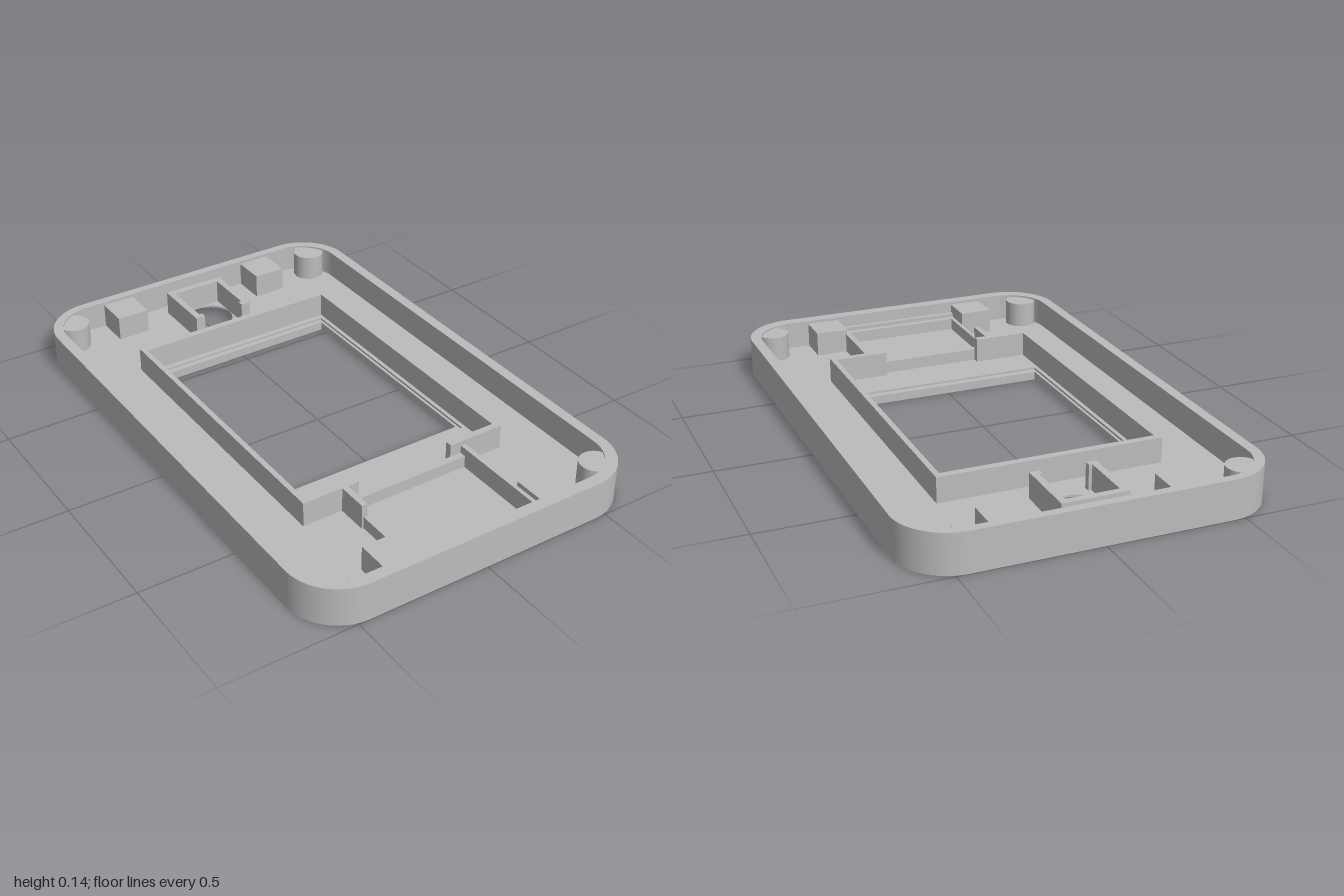
import * as THREE from 'three';
import { toCreasedNormals } from 'three/addons/utils/BufferGeometryUtils.js';

const FLOOR = 0.04, SINK = 0.032, POST = 0.133, RIM = 0.145;

// Outlines are drawn in plan: shape x = model x, shape y = -z
function rounded(Kind, x0, x1, z0, z1, r) {
  const p = new Kind(), b = -z1, t = -z0;
  p.moveTo(x0 + r, b);
  p.lineTo(x1 - r, b);
  p.absarc(x1 - r, b + r, r, -Math.PI / 2, 0, false);
  p.lineTo(x1, t - r);
  p.absarc(x1 - r, t - r, r, 0, Math.PI / 2, false);
  p.lineTo(x0 + r, t);
  p.absarc(x0 + r, t - r, r, Math.PI / 2, Math.PI, false);
  p.lineTo(x0, b + r);
  p.absarc(x0 + r, b + r, r, Math.PI, Math.PI * 1.5, false);
  return p;
}

function polygon(Kind, points) {
  return new Kind(points.map(([x, z]) => new THREE.Vector2(x, -z)));
}

function rect(Kind, x0, x1, z0, z1) {
  return polygon(Kind, [[x0, z1], [x1, z1], [x1, z0], [x0, z0]]);
}

function circle(r, z) {
  return new THREE.Path().absarc(0, -z, r, 0, Math.PI * 2, true);
}

export function createModel() {
  const group = new THREE.Group();
  const grey = new THREE.MeshStandardMaterial({ color: 0xbcbcbc, side: THREE.DoubleSide });
  grey.name = 'light grey';

  function add(name, geometry) {
    const mesh = new THREE.Mesh(geometry, grey);
    mesh.name = name;
    group.add(mesh);
    return mesh;
  }
  // Raise a plan outline from y0 to y1
  function raise(name, shape, y0, y1, holes = []) {
    shape.holes.push(...holes);
    const g = new THREE.ExtrudeGeometry(shape, { depth: y1 - y0, bevelEnabled: false, curveSegments: 20 });
    g.rotateX(-Math.PI / 2);
    g.translate(0, y0, 0);
    return add(name, toCreasedNormals(g, 0.5));
  }
  function block(name, x0, x1, z0, z1, y1) {
    const g = new THREE.BoxGeometry(x1 - x0, y1 - FLOOR, z1 - z0);
    g.translate((x0 + x1) / 2, (FLOOR + y1) / 2, (z0 + z1) / 2);
    return add(name, g);
  }
  const outline = () => rounded(THREE.Shape, -0.645, 0.645, -1, 1, 0.19);

  // Floor in two layers, stepped around the window and the countersunk hole
  raise('lowerFloor', outline(), 0, SINK,
    [rect(THREE.Path, -0.365, 0.365, -0.53, 0.35), circle(0.16, -0.8)]);
  raise('upperFloor', outline(), SINK, FLOOR,
    [rect(THREE.Path, -0.375, 0.375, -0.55, 0.376), circle(0.095, -0.8)]);
  const cone = new THREE.CylinderGeometry(0.095, 0.16, SINK, 48, 1, true);
  cone.translate(0, SINK / 2, -0.8);
  add('countersink', cone);

  // Outer wall
  raise('outerWall', outline(), FLOOR, RIM,
    [rounded(THREE.Path, -0.605, 0.605, -0.968, 0.955, 0.15)]);

  // Corner bosses and the square blocks by the end walls
  for (const sx of [-1, 1]) {
    for (const z of [-0.9, 0.89]) {
      const boss = new THREE.CylinderGeometry(0.06, 0.06, POST + 0.005 - FLOOR, 32);
      boss.translate(sx * 0.54, (POST + 0.005 + FLOOR) / 2, z);
      add('cornerBoss', boss);
    }
    const x0 = sx > 0 ? 0.25 : -0.375;
    block('backBlock', x0, x0 + 0.125, -0.97, -0.84, POST);
    block('frontBlock', x0, x0 + 0.125, 0.83, 0.96, POST);
  }

  // Window frame, open in the middle of its front side
  raise('windowFrame', polygon(THREE.Shape, [
    [-0.19, 0.545], [-0.41, 0.545], [-0.41, -0.598], [0.41, -0.598], [0.41, 0.545], [0.19, 0.545],
    [0.19, 0.52], [0.39, 0.52], [0.39, -0.571], [-0.39, -0.571], [-0.39, 0.52], [-0.19, 0.52],
  ]), FLOOR, POST);

  // Clip bracket around the round hole, with small hooks at its open end
  raise('holeBracket', polygon(THREE.Shape, [
    [-0.12, -0.677], [-0.12, -0.92], [0.12, -0.92], [0.12, -0.677], [0.083, -0.677], [0.083, -0.7],
    [0.095, -0.7], [0.095, -0.894], [-0.095, -0.894], [-0.095, -0.7], [-0.083, -0.7], [-0.083, -0.677],
  ]), FLOOR, POST);

  // Tray in front of the window: low rim with taller side guides
  raise('trayRim', rect(THREE.Shape, -0.25, 0.25, 0.545, 0.937), FLOOR, 0.085,
    [rect(THREE.Path, -0.235, 0.235, 0.57, 0.915)]);
  block('trayEndBeam', -0.25, 0.25, 0.937, 0.957, 0.1);
  block('trayLeftGuide', 0.235, 0.255, 0.54, 0.945, 0.115);
  block('trayRightStub', -0.257, -0.235, 0.54, 0.66, POST);

  return group;
}
